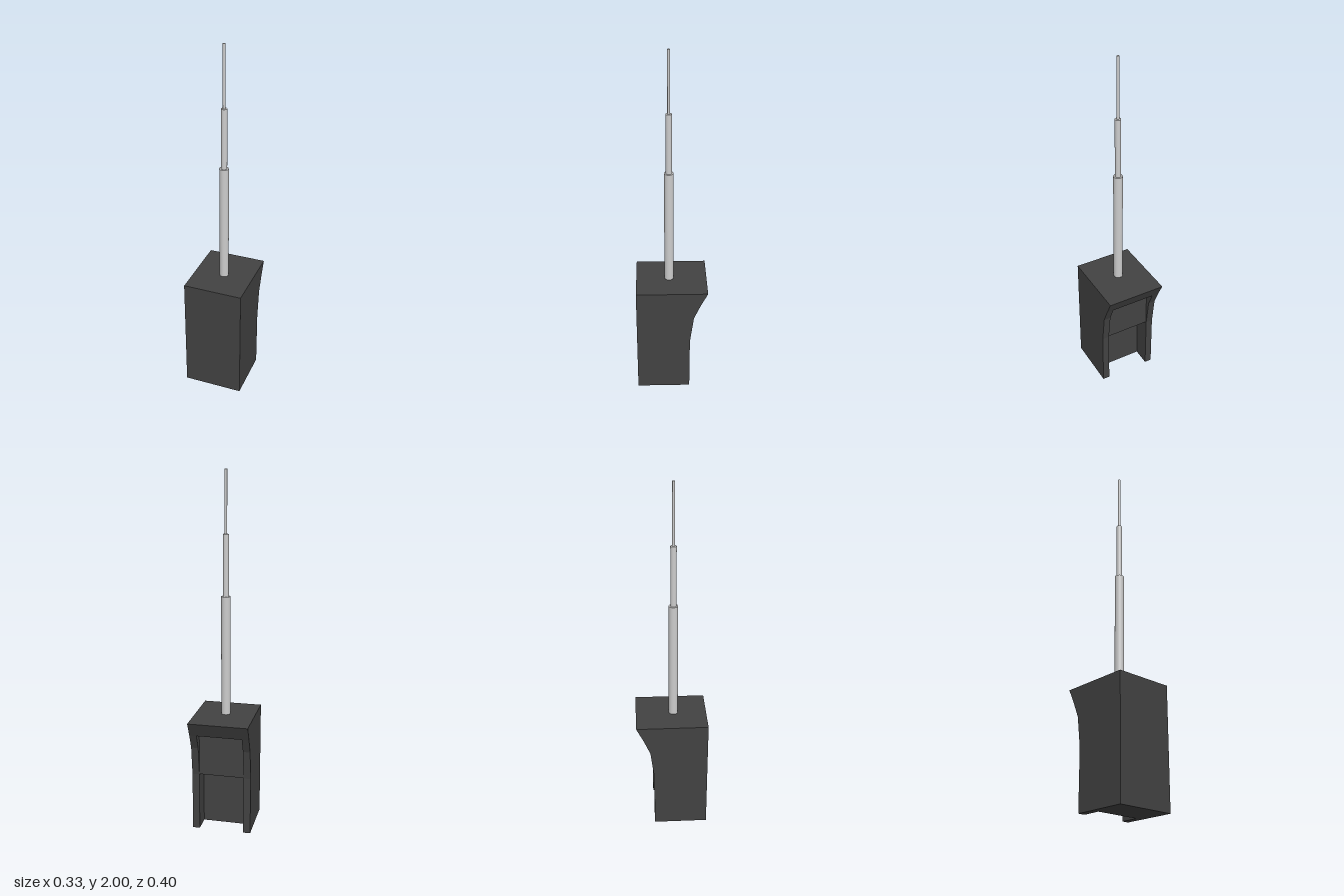
import * as THREE from 'three';

const H = 2 / 3, HALF_WIDTH = 1 / 6, RIB = 0.04;
const FRONT = 0.2, BACK = -0.103;

export function createModel() {
  const model = new THREE.Group();
  const dark = new THREE.MeshStandardMaterial({ color: 0x424242, flatShading: true });
  const grey = new THREE.MeshStandardMaterial({ color: 0xcccccc });

  // Extrudes a [z, y] side outline along x, from x0 to x1
  const slab = (name, points, x0, x1) => {
    const shape = new THREE.Shape(points.map(([z, y]) => new THREE.Vector2(-z, y)));
    const geometry = new THREE.ExtrudeGeometry(shape, { depth: x1 - x0, bevelEnabled: false });
    geometry.rotateY(Math.PI / 2).translate(x0, 0, 0);
    const mesh = new THREE.Mesh(geometry, dark);
    mesh.name = name;
    model.add(mesh);
  };

  // Side walls follow the flared back outline
  const flare = [[BACK, 0], [BACK, 1 / 3], [-0.124, 0.5], [-0.16, 0.585], [-0.2, H]];
  const inner = HALF_WIDTH - RIB;
  const side = [[FRONT, 0], ...flare, [FRONT, H]];
  slab('leftWall', side, inner, HALF_WIDTH);
  slab('rightWall', side, -HALF_WIDTH, -inner);

  // Core between the walls: deep lower recess, shallow upper recess, overhanging lip
  slab('recessedCore', [
    [FRONT, 0], [0, 0], [0, 1 / 3], [-0.098, 1 / 3], [-0.098, 0.585],
    [-0.16, 0.585], [-0.2, H], [FRONT, H],
  ], -inner, inner);

  // Telescopic mast: radius, bottom, top
  const mast = new THREE.Group();
  mast.name = 'telescopicMast';
  [
    ['lowerMast', 0.0255, H, 4 / 3],
    ['middleMast', 0.0165, 4 / 3, 5 / 3],
    ['upperMast', 0.007, 5 / 3, 2],
  ].forEach(([name, radius, bottom, top]) => {
    const tube = new THREE.Mesh(new THREE.CylinderGeometry(radius, radius, top - bottom, 32), grey);
    tube.name = name;
    tube.position.set(0, (bottom + top) / 2, 0.0135);
    mast.add(tube);
  });
  model.add(mast);
  return model;
}
